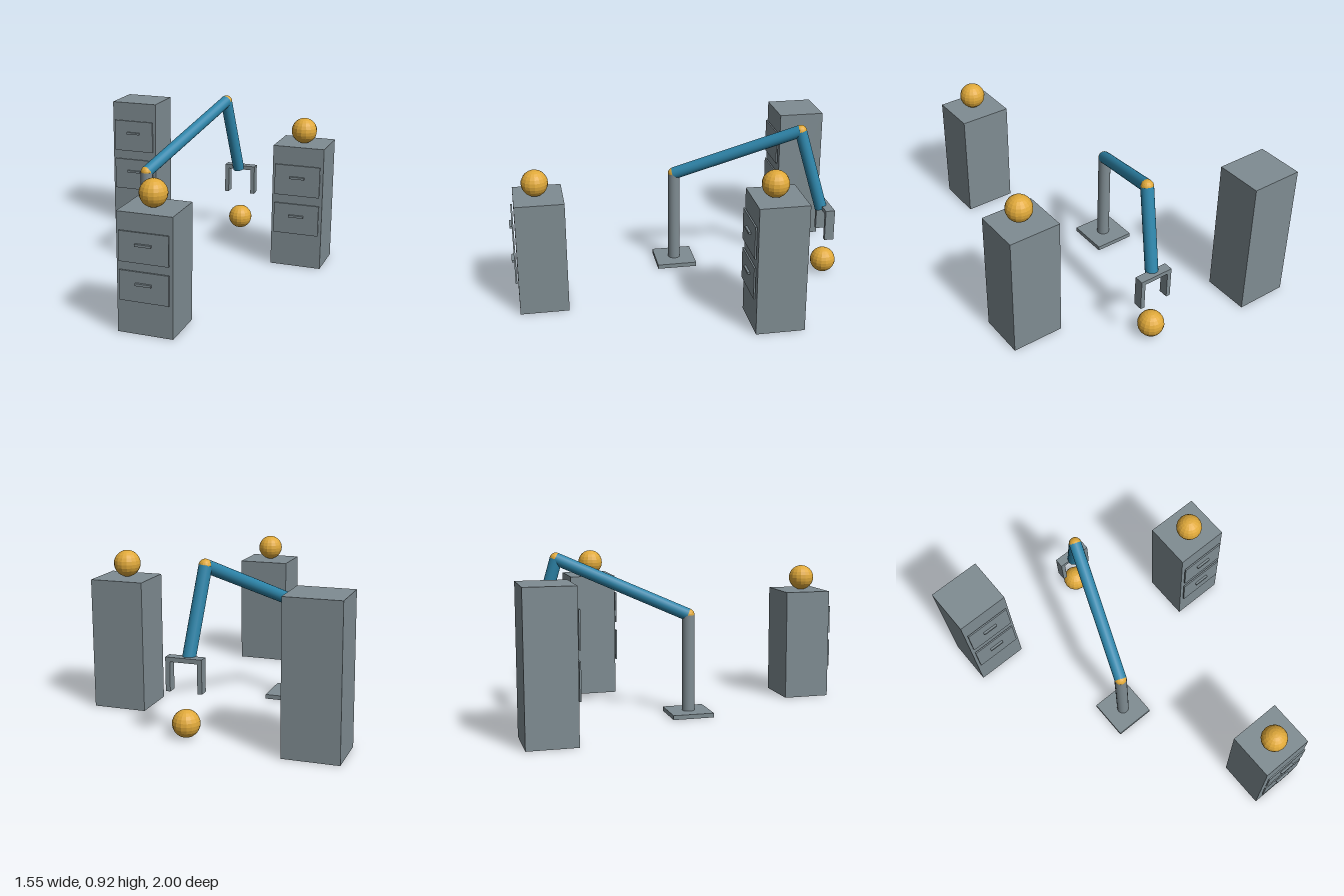
import * as THREE from 'three';

export function createModel() {
  const model = new THREE.Group();
  const material = (name, color) => {
    const m = new THREE.MeshStandardMaterial({ color });
    m.name = name;
    return m;
  };
  const grey = material('steel grey', 0x7f8c92);
  const blue = material('arm blue', 0x2e86ab);
  const gold = material('gold', 0xe0a93a);

  const add = (parent, name, geometry, mat, x, y, z) => {
    const mesh = new THREE.Mesh(geometry, mat);
    mesh.name = name;
    mesh.position.set(x, y, z);
    parent.add(mesh);
    return mesh;
  };
  const box = (parent, name, w, h, d, x, y, z) =>
    add(parent, name, new THREE.BoxGeometry(w, h, d), grey, x, y, z);
  const ball = (parent, name, r, x, y, z) => {
    const geometry = new THREE.SphereGeometry(r, 16, 12).toNonIndexed();
    geometry.computeVertexNormals(); // faceted
    return add(parent, name, geometry, gold, x, y, z);
  };
  // Straight round link between two points
  const link = (parent, name, mat, r, a, b) => {
    const dir = b.clone().sub(a);
    const mid = a.clone().add(b).multiplyScalar(0.5);
    const mesh = add(parent, name, new THREE.CylinderGeometry(r, r, dir.length(), 20), mat, mid.x, mid.y, mid.z);
    mesh.quaternion.setFromUnitVectors(new THREE.Vector3(0, 1, 0), dir.normalize());
  };

  // Cabinets: body with two floating drawer fronts and handles
  const cabinet = (x, back, h, withBall) => {
    const group = new THREE.Group();
    group.name = 'cabinet';
    group.position.set(x, 0, back);
    box(group, 'cabinetBody', 0.304, h, 0.274, 0, h / 2, 0.137);
    for (const f of [0.407, 0.728]) {
      box(group, 'drawerFront', 0.27, 0.25 * h, 0.009, 0, f * h, 0.285);
      box(group, 'drawerHandle', 0.088, 0.013, 0.013, 0, (f + 0.025) * h, 0.296);
    }
    if (withBall) ball(group, 'cabinetBall', 0.075, 0, h + 0.075, 0.151);
    model.add(group);
  };
  cabinet(-0.623, -1, 0.82, false);
  cabinet(0.167, 0.695, 0.65, true);
  cabinet(0.619, -0.548, 0.735, true);

  // Robot arm
  const arm = new THREE.Group();
  arm.name = 'robotArm';
  model.add(arm);
  const foot = new THREE.Vector3(-0.229, 0.025, 0);
  const shoulder = new THREE.Vector3(-0.229, 0.575, 0);
  const elbow = new THREE.Vector3(0.028, 0.886, -0.705);
  const wrist = new THREE.Vector3(0.076, 0.412, -0.836);
  const r = 0.036;
  box(arm, 'basePlate', 0.236, 0.025, 0.236, foot.x, 0.0125, 0);
  link(arm, 'post', grey, r, foot, shoulder);
  link(arm, 'upperArm', blue, r, shoulder, elbow);
  link(arm, 'forearm', blue, r, elbow, wrist);
  ball(arm, 'shoulderJoint', r, ...shoulder.toArray());
  ball(arm, 'elbowJoint', r, ...elbow.toArray());

  // Gripper: crossbar with two fingers
  const gripper = new THREE.Group();
  gripper.name = 'gripper';
  gripper.position.set(0.084, 0, -0.861);
  arm.add(gripper);
  box(gripper, 'crossbar', 0.2, 0.025, 0.055, 0, 0.421, 0);
  for (const side of [-1, 1]) {
    box(gripper, 'finger', 0.025, 0.16, 0.055, side * 0.0875, 0.33, 0);
  }

  // Ball on the floor under the gripper
  ball(model, 'floorBall', 0.075, 0.084, 0.076, -0.862);

  return model;
}
